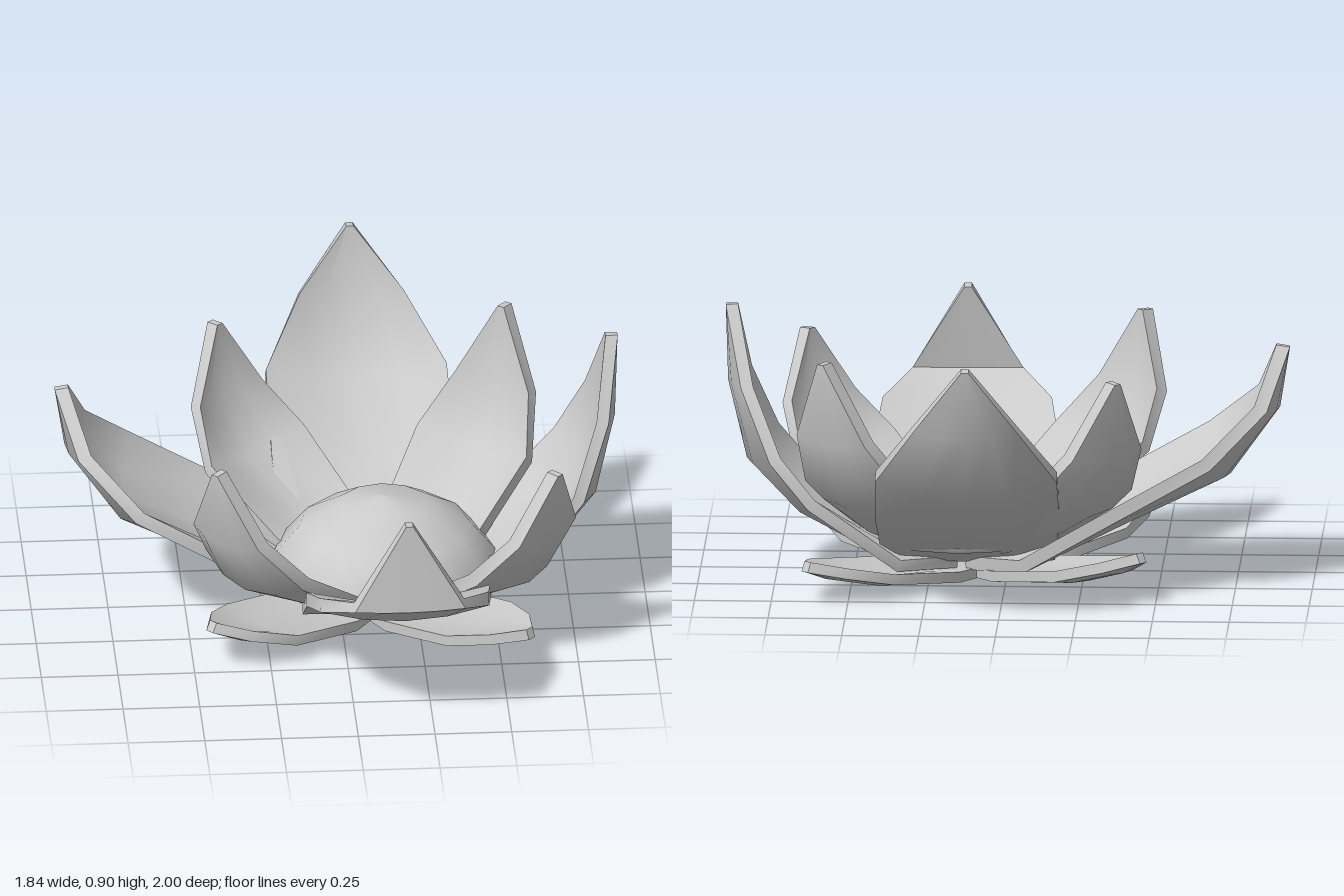
import * as THREE from 'three';
import { toCreasedNormals } from 'three/addons/utils/BufferGeometryUtils.js';

// Petal stations from base to tip: [reach, height, half width, cupping]; reach and height are fractions
const LARGE = [[0.02, 0.055, 0.12, 0], [0.2, 0.08, 0.28, 0.005], [0.51, 0.25, 0.3, 0.06],
  [0.82, 0.45, 0.295, 0.09], [0.97, 0.74, 0.17, 0.04], [1, 1, 0.012, 0]];
const STEEP = [[0.02, 0.05, 0.12, 0], [0.28, 0.07, 0.28, 0.005], [0.7, 0.25, 0.29, 0.06],
  [0.91, 0.43, 0.265, 0.08], [0.99, 0.72, 0.16, 0.04], [1, 1, 0.012, 0]];
const BLUNT = [[0.02, 0.055, 0.12, 0], [0.2, 0.08, 0.28, 0.005], [0.6, 0.32, 0.3, 0.04],
  [0.84, 0.44, 0.275, 0.04], [1.03, 0.6, 0.18, 0.01], [1, 1, 0.012, 0]];
const MEDIUM = [[0.05, 0.07, 0.1, 0], [0.42, 0.15, 0.185, 0.04], [0.82, 0.38, 0.215, 0.07],
  [0.98, 0.66, 0.145, 0.04], [1, 1, 0.012, 0]];
const LEAF = [[0.02, 0.03, 0.09, 0], [0.3, 0.08, 0.165, 0.01], [0.68, 0.27, 0.165, 0.02],
  [0.88, 0.55, 0.1, 0.015], [1, 0.83, 0.015, 0]];

// A cupped, solid petal growing along +z, skinned from cross-sections
function petalGeometry(stations, reach, height, thickness) {
  const cols = 4, rows = stations.length - 1;
  const line = stations.map(([r, h]) => new THREE.Vector2(r * reach, h * height));
  const outer = [], inner = [];
  stations.forEach(([, , width, cup], i) => {
    const t = line[Math.min(i + 1, rows)].clone().sub(line[Math.max(i - 1, 0)]).normalize();
    const normal = new THREE.Vector3(0, t.x, -t.y);
    for (let j = 0; j <= cols; j++) {
      const v = (j / cols) * 2 - 1;
      const p = new THREE.Vector3(v * width, line[i].y, line[i].x).addScaledVector(normal, cup * v * v);
      outer.push(p);
      inner.push(p.clone().addScaledVector(normal, thickness));
    }
  });

  const positions = [];
  const quad = (a, b, c, d) => [a, b, c, a, c, d].forEach((p) => positions.push(p.x, p.y, p.z));
  const at = (i, j) => i * (cols + 1) + j;
  for (let i = 0; i < rows; i++) {
    for (let j = 0; j < cols; j++) {
      const [a, b, c, d] = [at(i, j), at(i + 1, j), at(i + 1, j + 1), at(i, j + 1)];
      quad(inner[a], inner[b], inner[c], inner[d]);
      quad(outer[a], outer[d], outer[c], outer[b]);
    }
  }
  // Rim joining the two skins
  const rim = [];
  for (let i = 0; i < rows; i++) rim.push(at(i, 0));
  for (let j = 0; j < cols; j++) rim.push(at(rows, j));
  for (let i = rows; i > 0; i--) rim.push(at(i, cols));
  for (let j = cols; j > 0; j--) rim.push(at(0, j));
  rim.forEach((p, k) => {
    const q = rim[(k + 1) % rim.length];
    quad(outer[p], outer[q], inner[q], inner[p]);
  });

  const geometry = new THREE.BufferGeometry();
  geometry.setAttribute('position', new THREE.Float32BufferAttribute(positions, 3));
  return toCreasedNormals(geometry, 0.7);
}

export function createModel() {
  const group = new THREE.Group();
  const material = new THREE.MeshStandardMaterial({ color: 0xcccccc });

  // Places a petal from a base point (x, z) to a tip (x, y, z)
  function addPetal(name, stations, [bx, bz], [tx, ty, tz], thickness) {
    const dx = tx - bx, dz = tz - bz;
    const mesh = new THREE.Mesh(petalGeometry(stations, Math.hypot(dx, dz), ty, thickness), material);
    mesh.name = name;
    mesh.position.set(bx, 0, bz);
    mesh.rotation.y = Math.atan2(dx, dz);
    group.add(mesh);
  }

  // Four large petals
  addPetal('largePetalFront', BLUNT, [0.145, 0.02], [0.17, 0.74, 0.97], 0.045);
  addPetal('largePetalBack', LARGE, [0.125, 0.02], [0.1, 0.88, -1], 0.04);
  addPetal('largePetalRight', LARGE, [0.15, -0.06], [-0.92, 0.77, -0.065], 0.045);
  addPetal('largePetalLeft', STEEP, [0.15, -0.045], [0.915, 0.9, -0.085], 0.04);

  // Four medium petals on the diagonals
  const heart = [0.15, 0.02];
  addPetal('mediumPetalFrontRight', MEDIUM, heart, [-0.44, 0.75, 0.57], 0.045);
  addPetal('mediumPetalFrontLeft', MEDIUM, heart, [0.69, 0.69, 0.52], 0.045);
  addPetal('mediumPetalBackRight', MEDIUM, heart, [-0.38, 0.75, -0.57], 0.045);
  addPetal('mediumPetalBackLeft', MEDIUM, heart, [0.59, 0.8, -0.54], 0.045);

  // Four low leaves beneath the flower
  const stem = [0.1, 0];
  addPetal('leafFrontRight', LEAF, stem, [-0.45, 0.17, 0.48], 0.035);
  addPetal('leafFrontLeft', LEAF, stem, [0.6, 0.1, 0.48], 0.035);
  addPetal('leafBackRight', LEAF, stem, [-0.46, 0.17, -0.5], 0.035);
  addPetal('leafBackLeft', LEAF, stem, [0.64, 0.13, -0.53], 0.035);

  // Domed centre
  const profile = [[0, 0.1], [0.2, 0.1], [0.35, 0.13], [0.37, 0.17], [0.28, 0.28], [0.15, 0.355], [0, 0.385]];
  const dome = new THREE.LatheGeometry(profile.map(([x, y]) => new THREE.Vector2(x, y)), 12);
  const centre = new THREE.Mesh(dome, material);
  centre.name = 'flowerCentre';
  centre.position.set(0.15, 0, 0.01);
  group.add(centre);

  return group;
}
